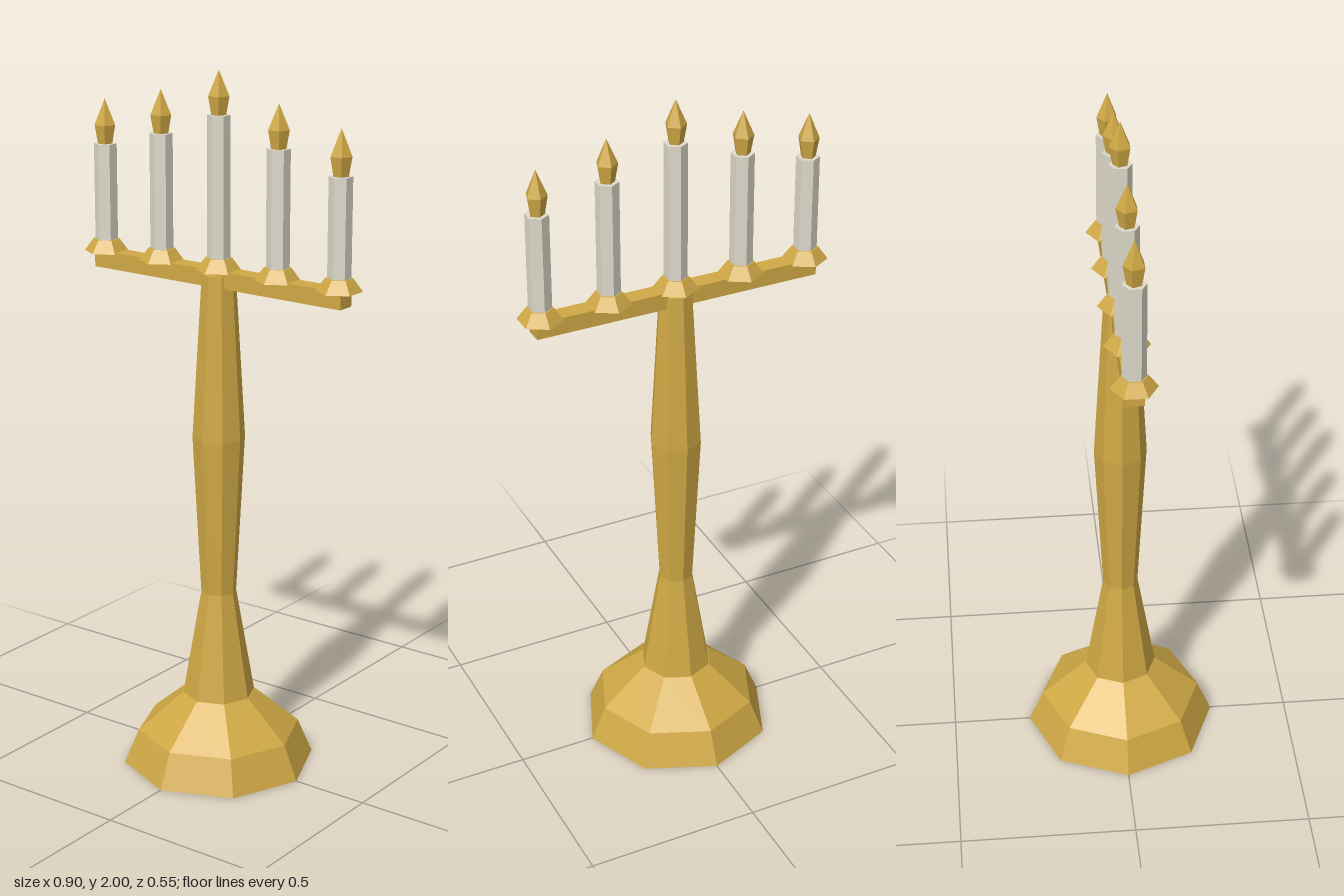
import * as THREE from 'three';

const gold = new THREE.MeshStandardMaterial({ color: 0xd0a945, flatShading: true });
gold.name = 'gold';
const wax = new THREE.MeshStandardMaterial({ color: 0xdedacb, flatShading: true });
wax.name = 'candle wax';

// Faceted turned part from [radius, height] pairs, listed bottom to top
function turned(name, profile, sides, material, startAngle = 0) {
  const points = profile.map(([r, y]) => new THREE.Vector2(r, y));
  const mesh = new THREE.Mesh(new THREE.LatheGeometry(points, sides, startAngle), material);
  mesh.name = name;
  return mesh;
}

// Cup, candle and flame standing on the crossbar
function createCandle(x, top, tip) {
  const candle = new THREE.Group();
  candle.name = 'candleHolder';
  const h = tip - top;
  candle.add(
    turned('cup', [[0, 1.455], [0.063, 1.455], [0.037, 1.49], [0, 1.49]], 6, gold),
    turned('candle', [[0, 1.48], [0.032, 1.48], [0.032, top], [0, top]], 6, wax),
    turned('flame', [[0, top], [0.021, top], [0.03, top + h * 0.42], [0, tip]], 5, gold, Math.PI)
  );
  candle.position.x = x;
  return candle;
}

export function createModel() {
  const model = new THREE.Group();
  model.name = 'candelabra';

  // Octagonal foot and waisted stem
  model.add(
    turned('base', [[0, 0], [0.275, 0], [0.233, 0.1], [0.105, 0.21], [0, 0.21]], 8, gold),
    turned('stem', [[0.103, 0.21], [0.05, 0.52], [0.074, 0.98], [0.047, 1.445], [0, 1.445]], 8, gold)
  );

  // Crossbar
  const bar = new THREE.Mesh(new THREE.BoxGeometry(0.83, 0.048, 0.052), gold);
  bar.name = 'crossbar';
  bar.position.y = 1.435;
  model.add(bar);

  // Candles, tallest in the middle
  model.add(createCandle(0, 1.88, 2));
  for (const side of [-1, 1]) {
    model.add(createCandle(side * 0.196, 1.81, 1.93));
    model.add(createCandle(side * 0.393, 1.76, 1.885));
  }
  return model;
}
